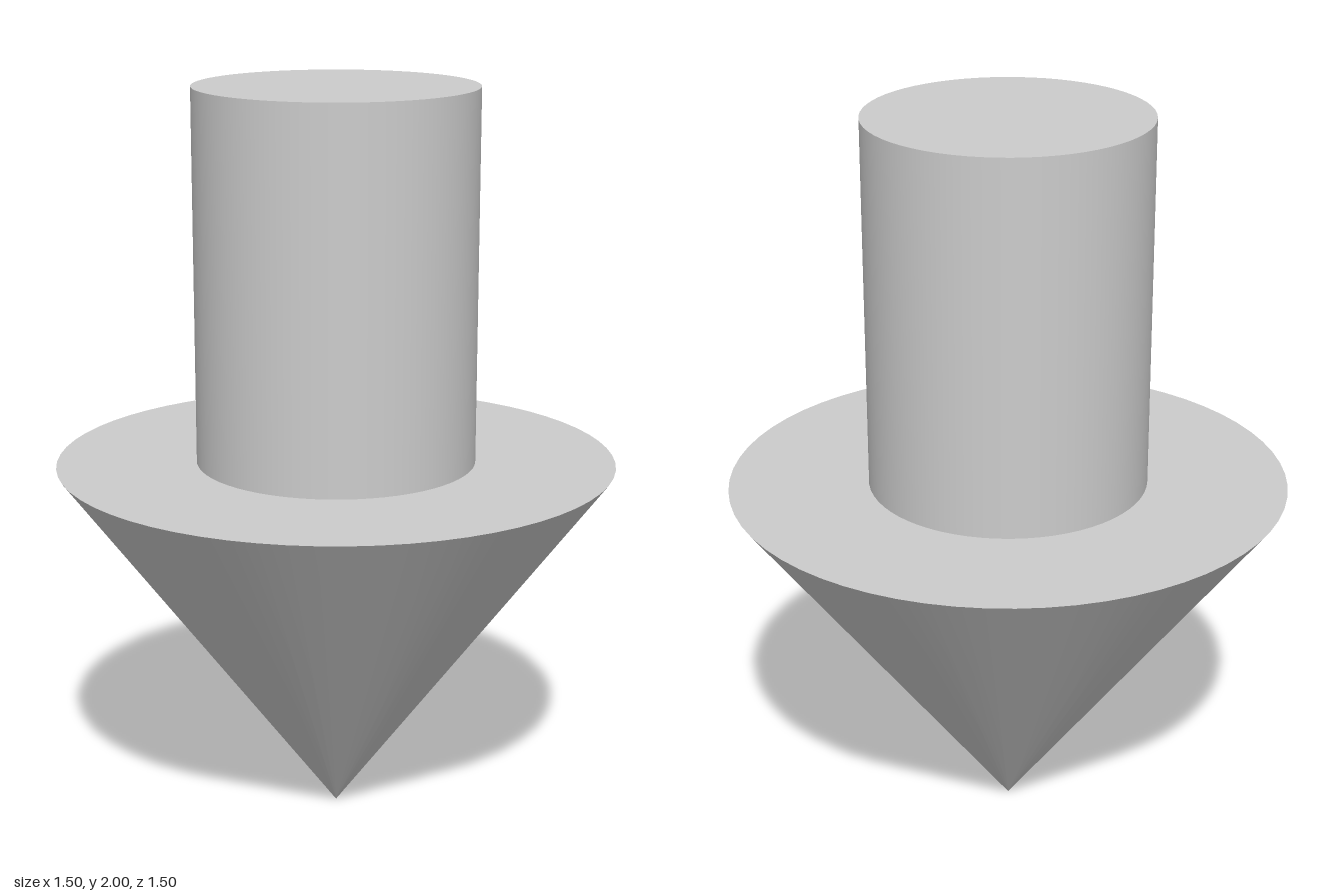
import * as THREE from 'three';

const SEGMENTS = 64;
const SHAFT_RADIUS = 0.375;
const HEAD_RADIUS = 0.75;

export function createModel() {
  const group = new THREE.Group();
  group.name = 'downArrow';
  const material = new THREE.MeshStandardMaterial({ color: 0xcccccc });

  // Round shaft standing on the flat back of the head
  const shaft = new THREE.Mesh(
    new THREE.CylinderGeometry(SHAFT_RADIUS, SHAFT_RADIUS, 1, SEGMENTS), material);
  shaft.name = 'shaft';
  shaft.position.y = 1.5;

  // Conical head, its tip pointing down to the ground
  const head = new THREE.Mesh(
    new THREE.CylinderGeometry(HEAD_RADIUS, 0, 1, SEGMENTS), material);
  head.name = 'head';
  head.position.y = 0.5;

  group.add(shaft, head);
  return group;
}
